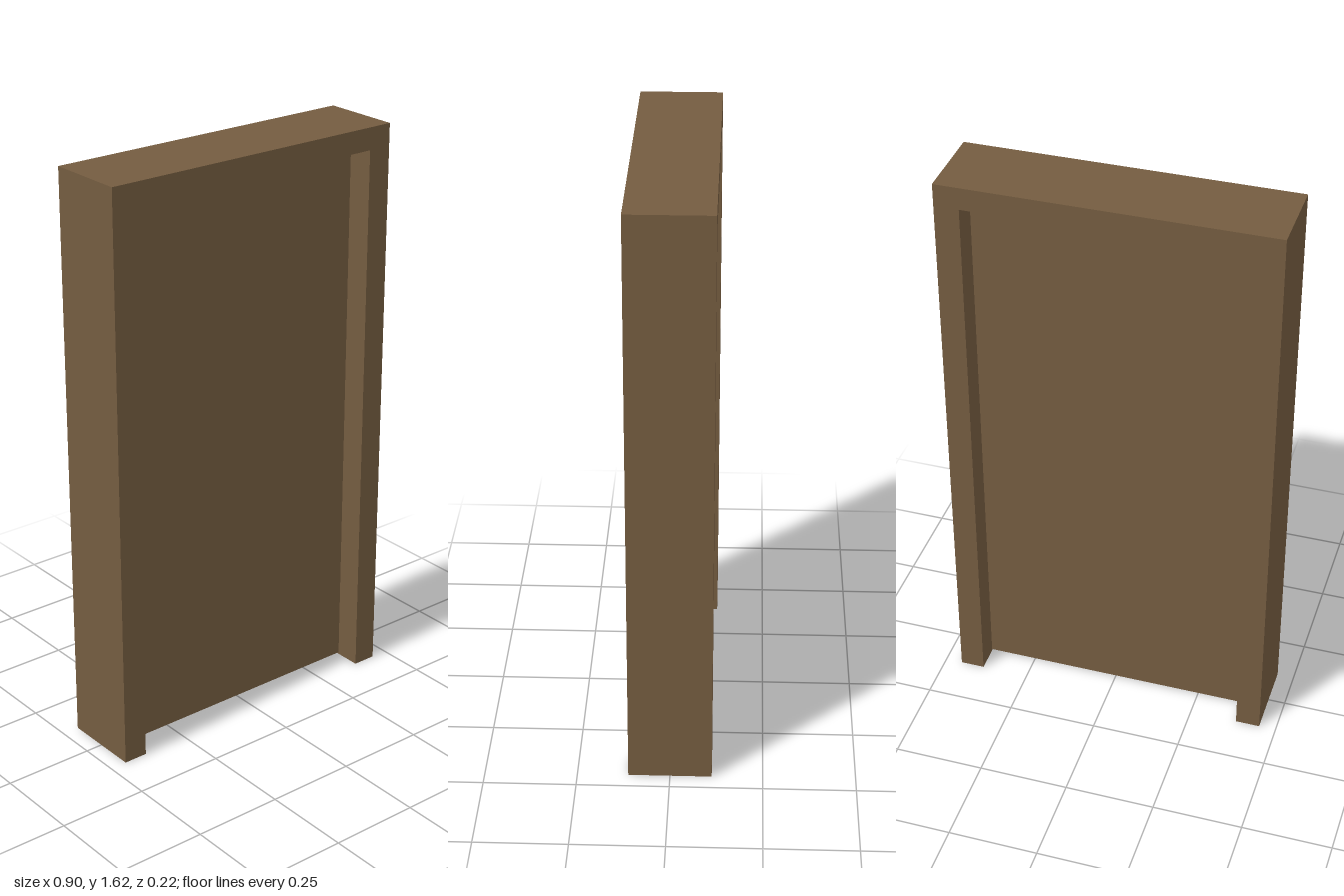
import * as THREE from 'three';

export function createModel() {
  const model = new THREE.Group();
  model.name = 'door';
  const wood = new THREE.MeshStandardMaterial({ color: 0x745c40 });
  wood.name = 'brown wood';

  const outer = 0.452, inner = 0.384;   // half widths
  const bottom = 0.382, top = 2, lintel = 1.938;
  const depth = 0.225, panelDepth = 0.075;

  // Frame: two jambs and a lintel in one upside-down U
  const outline = new THREE.Shape([
    [-outer, bottom], [-inner, bottom], [-inner, lintel], [inner, lintel],
    [inner, bottom], [outer, bottom], [outer, top], [-outer, top],
  ].map(([x, y]) => new THREE.Vector2(x, y)));
  const frameGeometry = new THREE.ExtrudeGeometry(outline, { depth, bevelEnabled: false });
  frameGeometry.translate(0, 0, -depth / 2);
  const frame = new THREE.Mesh(frameGeometry, wood);
  frame.name = 'doorFrame';
  model.add(frame);

  // Door leaf, recessed on both sides and just clear of the frame's foot
  const leafBottom = 0.387;
  const leaf = new THREE.Mesh(
    new THREE.BoxGeometry(inner * 2, lintel - leafBottom, panelDepth), wood);
  leaf.name = 'doorLeaf';
  leaf.position.y = (lintel + leafBottom) / 2;
  model.add(leaf);

  return model;
}
